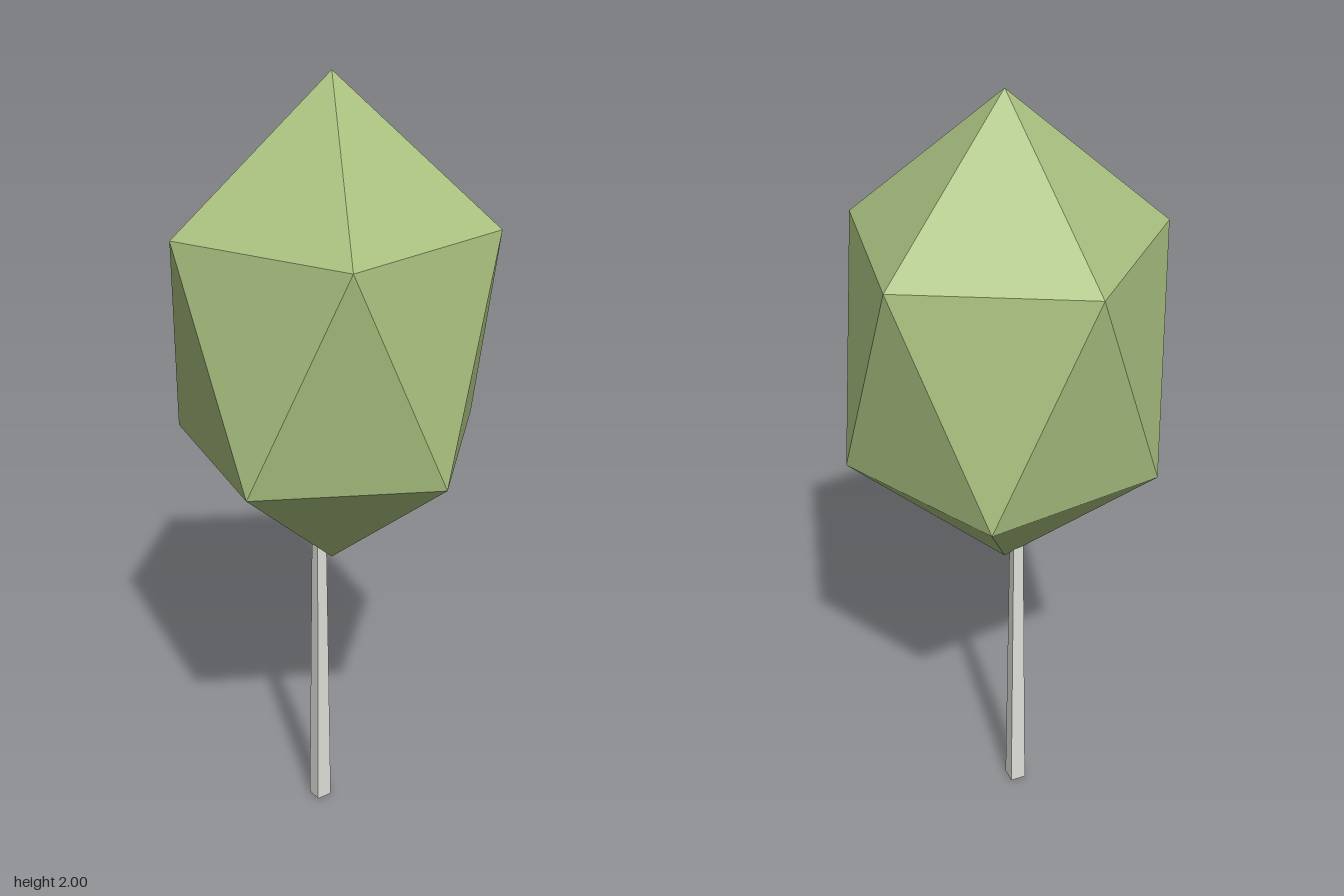
import * as THREE from 'three';

const leafGreen = new THREE.MeshStandardMaterial({ color: 0xa9c07f });
leafGreen.name = 'leafGreen';
leafGreen.flatShading = true;
const barkGrey = new THREE.MeshStandardMaterial({ color: 0xdedfd8 });
barkGrey.name = 'barkGrey';
barkGrey.flatShading = true;

// Tall icosahedron: two staggered rings of five points between two tips
function crownGeometry(radius, bottomY, lowerY, upperY, topY) {
  const ring = (y, offset) => Array.from({ length: 5 }, (_, i) => {
    const a = (i + offset) * Math.PI * 2 / 5;
    return new THREE.Vector3(radius * Math.cos(a), y, radius * Math.sin(a));
  });
  const upper = ring(upperY, 0);
  const lower = ring(lowerY, 0.5);
  const top = new THREE.Vector3(0, topY, 0);
  const bottom = new THREE.Vector3(0, bottomY, 0);
  const points = [];
  for (let i = 0; i < 5; i++) {
    const j = (i + 1) % 5;
    points.push(
      top, upper[j], upper[i],
      upper[j], lower[i], upper[i],
      upper[j], lower[j], lower[i],
      lower[j], bottom, lower[i],
    );
  }
  const geometry = new THREE.BufferGeometry().setFromPoints(points);
  geometry.computeVertexNormals();
  return geometry;
}

export function createModel() {
  const tree = new THREE.Group();
  tree.name = 'tree';

  const crown = new THREE.Mesh(crownGeometry(0.394, 0.767, 1.105, 1.66, 2), leafGreen);
  crown.name = 'crown';

  // Slim four-sided trunk, slightly off centre, its top hidden in the crown
  const trunkHeight = 0.9;
  const trunk = new THREE.Mesh(new THREE.CylinderGeometry(0.018, 0.03, trunkHeight, 4), barkGrey);
  trunk.name = 'trunk';
  trunk.position.set(-0.033, trunkHeight / 2, 0);

  tree.add(crown, trunk);
  return tree;
}
